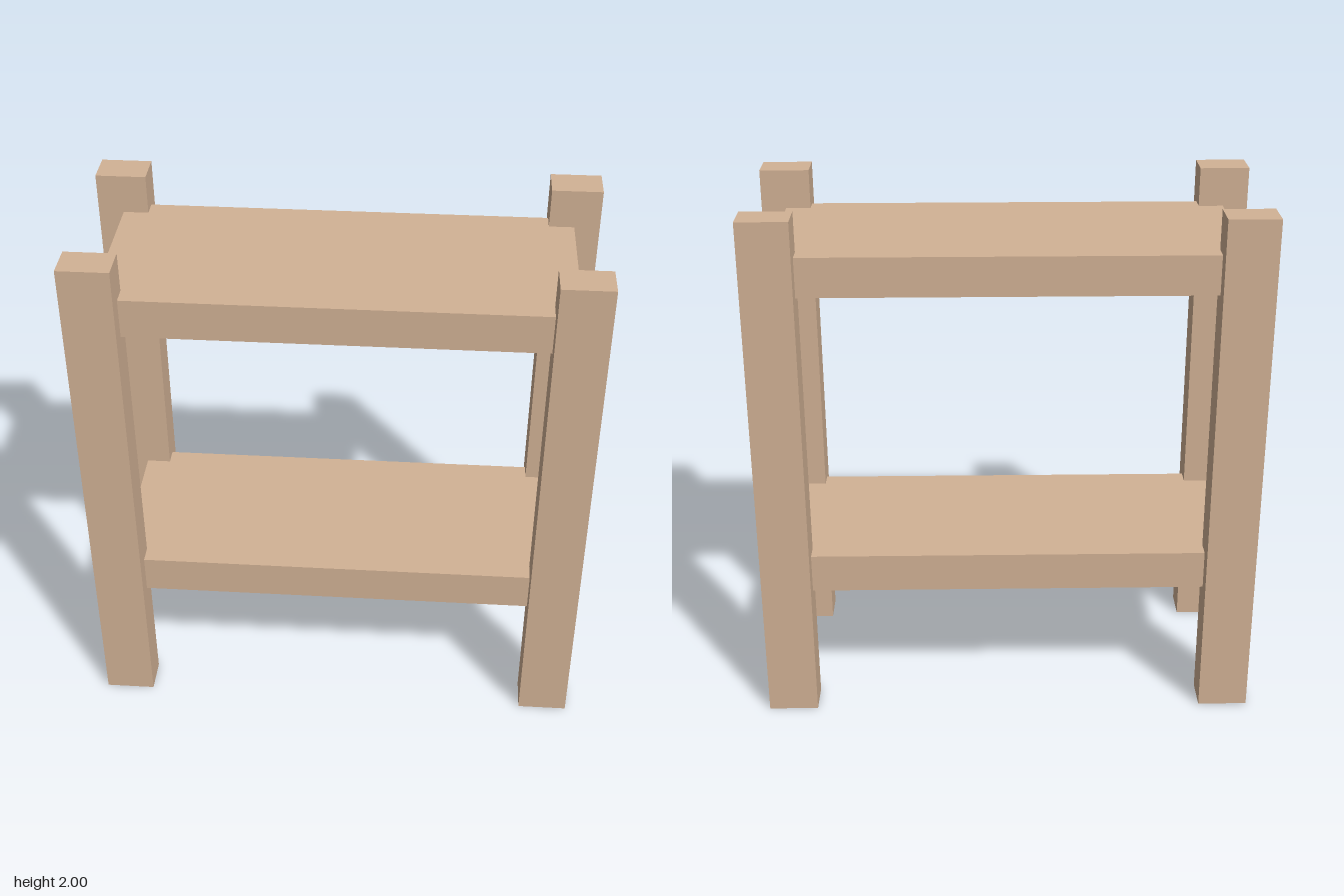
import * as THREE from 'three';

export function createModel() {
  const group = new THREE.Group();
  const wood = new THREE.MeshStandardMaterial({ color: 0xd2b295 });

  const addBox = (name, size, position) => {
    const mesh = new THREE.Mesh(new THREE.BoxGeometry(...size), wood);
    mesh.name = name;
    mesh.position.set(...position);
    group.add(mesh);
  };

  // Four corner posts
  for (const [side, sx] of [['Left', 1], ['Right', -1]]) {
    for (const [end, sz] of [['front', 1], ['back', -1]]) {
      addBox(`${end}${side}Post`, [0.19, 2, 0.133], [sx * 0.855, 1, sz * 0.352]);
    }
  }

  // Two shelves, their corners let into the centres of the posts
  addBox('lowerShelf', [1.71, 0.15, 0.704], [0, 0.575, 0]);
  addBox('upperShelf', [1.71, 0.15, 0.704], [0, 1.775, 0]);

  return group;
}
